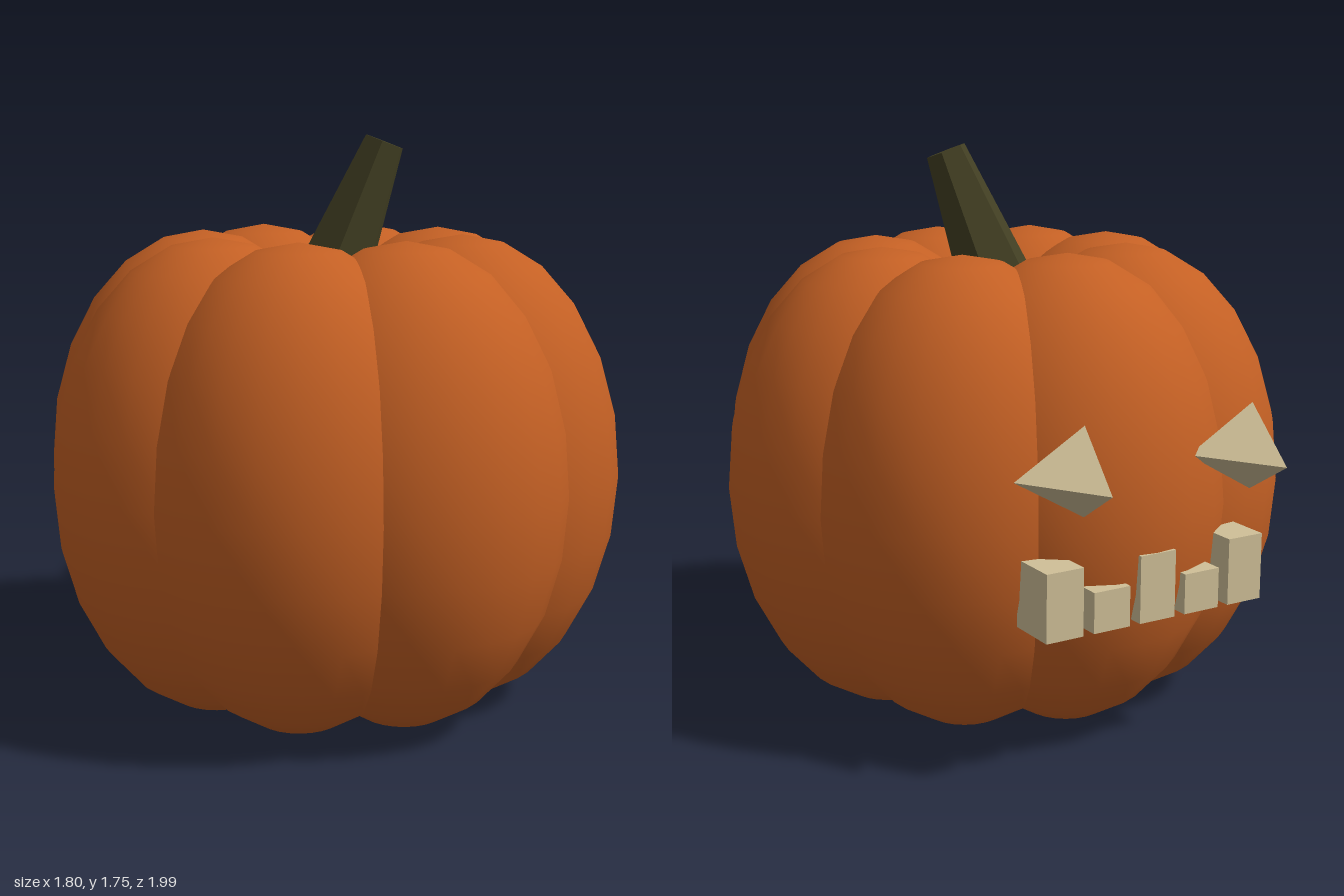
import * as THREE from 'three';

const material = (name, color, flatShading = false) => {
  const m = new THREE.MeshStandardMaterial({ color, flatShading });
  m.name = name;
  return m;
};

export function createModel() {
  const orange = material('pumpkin orange', 0xc46024);
  const olive = material('stem olive', 0x434023, true);
  const cream = material('carving cream', 0xd0c098, true);

  const model = new THREE.Group();
  model.name = 'pumpkin';
  const add = (name, geometry, mat, x, y, z, parent = model) => {
    const mesh = new THREE.Mesh(geometry, mat);
    mesh.name = name;
    mesh.position.set(x, y, z);
    parent.add(mesh);
    return mesh;
  };

  // Body: eight stretched spheres in a ring
  const body = new THREE.Group();
  body.name = 'body';
  body.position.set(0, 0.725, 0.09);
  model.add(body);
  const lobe = new THREE.SphereGeometry(0.49, 24, 12).scale(1, 0.725 / 0.49, 1);
  for (let i = 0; i < 8; i++) {
    const a = (i * Math.PI) / 4;
    add('lobe', lobe, orange, Math.sin(a) * 0.41, 0, Math.cos(a) * 0.41, body).rotation.y = a;
  }

  // Stem: leaning, tapered hexagonal post
  const base = new THREE.Vector3(-0.01, 1.27, 0.09);
  const tip = new THREE.Vector3(0.135, 1.725, 0.185);
  const axis = tip.clone().sub(base);
  const mid = base.clone().add(tip).multiplyScalar(0.5);
  const stem = add('stem',
    new THREE.CylinderGeometry(0.066, 0.13, axis.length(), 6, 1, false, Math.PI / 9),
    olive, mid.x, mid.y, mid.z);
  stem.quaternion.setFromUnitVectors(new THREE.Vector3(0, 1, 0), axis.normalize());

  // Eyes: three-sided spikes pointing out of the back
  const eye = new THREE.ConeGeometry(0.15, 0.25, 3, 1, false, Math.PI / 2).rotateX(-Math.PI / 2);
  for (const x of [-0.29, 0.29]) add('eye', eye, cream, x, 0.91, -0.875);

  // Teeth: alternating tall and short blocks on one baseline
  for (let i = -2; i <= 2; i++) {
    const h = i % 2 === 0 ? 0.2 : 0.12;
    add('tooth', new THREE.BoxGeometry(0.12, h, 0.158), cream, i * 0.155, 0.457 + h / 2, -0.729);
  }
  return model;
}
